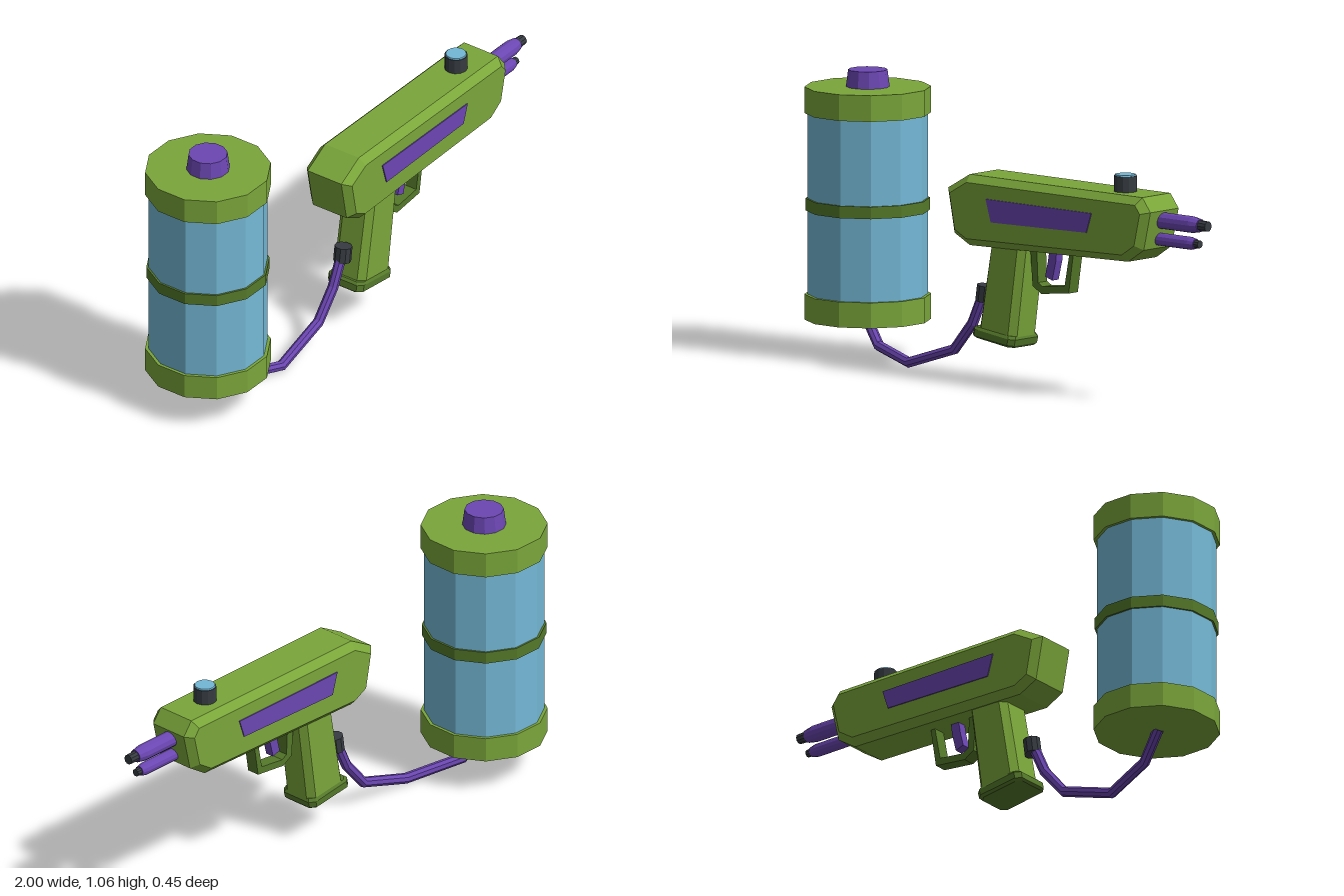
import * as THREE from 'three';

const mat = (name, color) => Object.assign(new THREE.MeshStandardMaterial({ color }), { name });

const GUN_Z = 0.11;

// Faceted normals baked into the geometry
function flat(geo) {
  const g = geo.index ? geo.toNonIndexed() : geo;
  g.computeVertexNormals();
  return g;
}

// Polygon in x,y extruded symmetrically about z = 0
function slab(points, depth, bevel = 0) {
  const shape = new THREE.Shape(points.map(([x, y]) => new THREE.Vector2(x, y)));
  const geo = new THREE.ExtrudeGeometry(shape, {
    depth: depth - 2 * bevel, bevelEnabled: bevel > 0, bevelSegments: 1,
    bevelSize: bevel, bevelThickness: bevel, bevelOffset: -bevel,
  });
  return geo.translate(0, 0, -depth / 2 + bevel);
}

// Chamfered rectangular sections, bottom to top: [x0, y0, x1, y1, half depth]
function loft(rings, c = 0.13, cz = 0.025) {
  const pos = [], idx = [];
  for (const [x0, y0, x1, y1, h] of rings) {
    const a = h - cz;
    for (const [u, z] of [[1, a], [1, -a], [1 - c, -h], [c, -h], [0, -a], [0, a], [c, h], [1 - c, h]])
      pos.push(x0 + (x1 - x0) * u, y0 + (y1 - y0) * u, z);
  }
  const top = (rings.length - 1) * 8;
  for (let i = 0; i < rings.length - 1; i++)
    for (let j = 0; j < 8; j++) {
      const a = i * 8 + j, b = i * 8 + (j + 1) % 8;
      idx.push(a, b, b + 8, a, b + 8, a + 8);
    }
  for (let j = 1; j < 7; j++) idx.push(0, j + 1, j, top, top + j, top + j + 1);
  const g = new THREE.BufferGeometry();
  g.setAttribute('position', new THREE.Float32BufferAttribute(pos, 3));
  g.setIndex(idx);
  return flat(g);
}

// Straight-segment path for the hose
class Polyline extends THREE.Curve {
  constructor(points) { super(); this.points = points; }
  getUtoTmapping(u) { return u; }
  getPoint(t, target = new THREE.Vector3()) {
    const n = this.points.length - 1;
    const i = Math.min(Math.floor(t * n), n - 1);
    return target.lerpVectors(this.points[i], this.points[i + 1], t * n - i);
  }
}

export function createModel() {
  const green = mat('green', 0x7aa63a);
  const darkGreen = mat('dark green', 0x55792a);
  const blue = mat('water blue', 0x74b8d6);
  const purple = mat('purple', 0x6b46b2);
  const dark = mat('dark grey', 0x373c42);

  const model = new THREE.Group();
  model.name = 'waterBlasterWithTank';
  const add = (parent, name, geo, material) => {
    const mesh = new THREE.Mesh(geo, material);
    mesh.name = name;
    parent.add(mesh);
    return mesh;
  };

  // Water tank: twelve-sided drum with caps, band and filler cap
  const tank = new THREE.Group();
  tank.name = 'tank';
  tank.position.x = -0.777;
  model.add(tank);
  const drum = (name, rTop, rBottom, y0, y1, material) => {
    const g = new THREE.CylinderGeometry(rTop, rBottom, y1 - y0, 12);
    add(tank, name, flat(g.rotateY(Math.PI / 12).translate(0, (y0 + y1) / 2, 0)), material);
  };
  drum('tankGlass', 0.22, 0.22, 0.2, 0.93, blue);
  drum('tankBottomCap', 0.232, 0.232, 0.137, 0.231, green);
  drum('tankTopCap', 0.232, 0.232, 0.9, 0.997, green);
  drum('tankBand', 0.2275, 0.2275, 0.54, 0.585, darkGreen);
  drum('fillerCap', 0.072, 0.081, 0.99, 1.06, purple);

  // Gun
  const gun = new THREE.Group();
  gun.name = 'gun';
  gun.position.z = GUN_Z;
  model.add(gun);

  add(gun, 'gunBody', slab([
    [-0.212, 0.702], [-0.105, 0.762], [0.745, 0.762], [0.785, 0.71],
    [0.752, 0.568], [0.675, 0.518], [-0.105, 0.5], [-0.18, 0.538],
  ], 0.207, 0.027), green);

  // Side panels
  for (const s of [-1, 1]) {
    const panel = slab([[0, 0.684], [0.52, 0.684], [0.495, 0.61], [0.025, 0.6]], 0.008);
    add(gun, s > 0 ? 'frontPanel' : 'backPanel', panel.translate(0, 0, s * 0.1035), purple);
  }

  // Grip and its flared base
  add(gun, 'grip', loft([
    [-0.08, 0.19, 0.1, 0.165, 0.073],
    [-0.018, 0.53, 0.15, 0.53, 0.073],
  ]), green);
  add(gun, 'gripBase', loft([
    [-0.095, 0.162, 0.092, 0.137, 0.07],
    [-0.103, 0.17, 0.1, 0.145, 0.08],
    [-0.098, 0.195, 0.106, 0.168, 0.08],
    [-0.088, 0.203, 0.1, 0.18, 0.073],
  ], 0.1, 0.018), darkGreen);

  // Trigger and guard
  add(gun, 'triggerGuard', slab([
    [0.145, 0.53], [0.157, 0.37], [0.2, 0.345], [0.335, 0.36], [0.362, 0.53],
    [0.343, 0.53], [0.315, 0.385], [0.207, 0.372], [0.184, 0.385], [0.177, 0.53],
  ], 0.05), darkGreen);
  add(gun, 'trigger', slab([
    [0.235, 0.52], [0.27, 0.52], [0.265, 0.47], [0.247, 0.398], [0.212, 0.41], [0.226, 0.465],
  ], 0.035), purple);

  // Twin barrels with dark nozzles
  for (const [name, y, r, shoulder, end, tipR, tip] of [
    ['upper', 0.672, 0.031, 0.925, 0.962, 0.021, 1.0],
    ['lower', 0.602, 0.024, 0.915, 0.94, 0.016, 0.96],
  ]) {
    const profile = [[0, 0.72], [r, 0.72], [r, shoulder], [r * 0.78, end], [0, end]];
    const barrel = new THREE.LatheGeometry(profile.map(([a, b]) => new THREE.Vector2(a, b)), 12);
    add(gun, name + 'Barrel', flat(barrel.rotateZ(-Math.PI / 2).translate(0, y, 0)), purple);
    const nozzle = new THREE.CylinderGeometry(tipR * 0.9, tipR, tip - end + 0.01, 10);
    add(gun, name + 'Nozzle', flat(nozzle.rotateZ(-Math.PI / 2).translate((tip + end - 0.01) / 2, y, 0)), dark);
  }

  // Top knob with blue lens
  add(gun, 'knob', flat(new THREE.CylinderGeometry(0.043, 0.043, 0.08, 12).translate(0.592, 0.78, 0)), dark);
  add(gun, 'knobLens', flat(new THREE.CylinderGeometry(0.038, 0.04, 0.006, 12).translate(0.592, 0.822, 0)), blue);

  // Hose and its connector at the grip
  const path = new Polyline([
    [-0.79, 0.145, -0.005], [-0.695, 0.05, 0.03], [-0.475, 0.02, GUN_Z],
    [-0.25, 0.092, GUN_Z], [-0.16, 0.198, GUN_Z], [-0.108, 0.31, GUN_Z],
  ].map((p) => new THREE.Vector3(...p)));
  add(model, 'hose', flat(new THREE.TubeGeometry(path, 5, 0.02, 8)), purple);
  const connector = add(gun, 'hoseConnector', flat(new THREE.CylinderGeometry(0.033, 0.033, 0.06, 10)), dark);
  connector.position.set(-0.1, 0.315, 0);
  connector.rotation.z = -0.14;

  return model;
}
